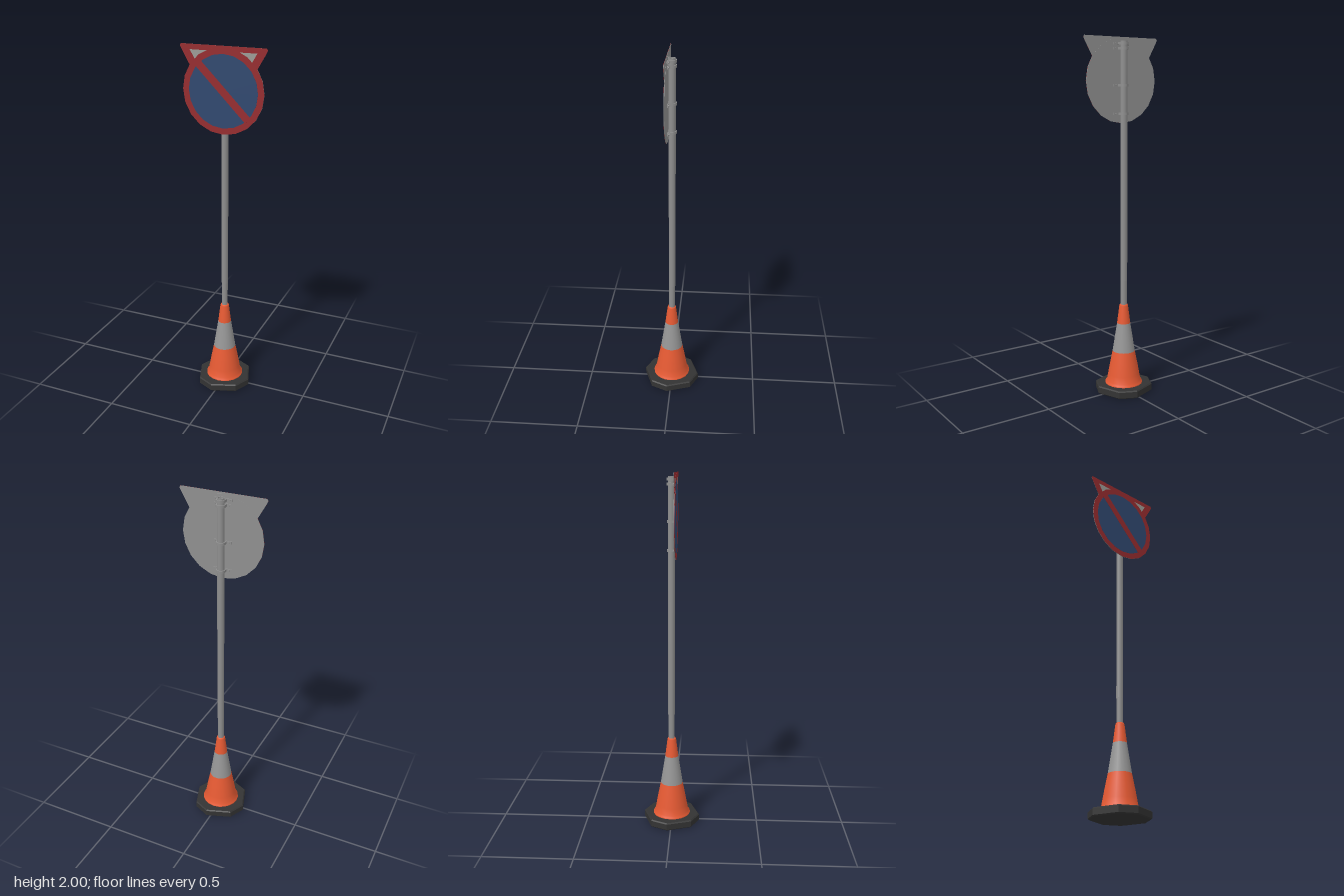
import * as THREE from 'three';

const paint = (name, color) => {
  const m = new THREE.MeshStandardMaterial({ color });
  m.name = name;
  return m;
};

export function createModel() {
  const root = new THREE.Group();
  root.name = 'portableRoadSign';
  const orange = paint('orange', 0xe65a33);
  const band = paint('reflectiveGrey', 0x969696);
  const metal = paint('metalGrey', 0x8f8f8f);
  const rubber = paint('blackRubber', 0x333333);
  const red = paint('signRed', 0x962c2f);
  const blue = paint('signBlue', 0x30486f);
  const white = paint('signPanel', 0x9c9c96);

  const add = (name, geo, mat, x = 0, y = 0, z = 0, parent = root) => {
    const mesh = new THREE.Mesh(geo, mat);
    mesh.name = name;
    mesh.position.set(x, y, z);
    parent.add(mesh);
    return mesh;
  };
  const lathe = (pts, sides) => new THREE.LatheGeometry(pts.map(p => new THREE.Vector2(...p)), sides);
  const plate = (pts, depth) => new THREE.ExtrudeGeometry(
    new THREE.Shape(pts.map(p => new THREE.Vector2(...p))), { depth, bevelEnabled: false });
  const disc = (r, depth) => new THREE.CylinderGeometry(r, r, depth, 20).rotateX(Math.PI / 2);

  // Rubber foot: a square with cut corners, turned a little and bevelled on top
  const foot = [];
  for (let k = 0; k < 4; k++) {
    for (const side of [-1, 1]) {
      const a = THREE.MathUtils.degToRad(25.5 + 90 * k + 18 * side);
      foot.push(new THREE.Vector2(Math.cos(a) * 0.157, Math.sin(a) * 0.157));
    }
  }
  const footGeo = new THREE.ExtrudeGeometry(new THREE.Shape(foot), {
    depth: 0.033, bevelSize: 0.006, bevelThickness: 0.006, bevelSegments: 1 });
  footGeo.rotateX(Math.PI / 2);
  add('rubberFoot', footGeo, rubber, 0, 0.039, 0);

  // Traffic cone in three colour bands
  add('coneLower', lathe([[0.107, 0.044], [0.107, 0.052], [0.097, 0.062], [0.09, 0.1],
    [0.081, 0.15], [0.073, 0.19], [0.064, 0.235]], 20), orange);
  add('coneBand', lathe([[0.064, 0.235], [0.038, 0.4]], 20), band);
  add('coneUpper', lathe([[0.038, 0.4], [0.025, 0.502], [0.022, 0.51], [0.012, 0.51]], 20), orange);

  // Pole with an outer sleeve and a hollow top
  add('lowerPole', new THREE.CylinderGeometry(0.0175, 0.0175, 0.45, 12), metal, 0, 0.5, -0.001);
  add('upperPole', lathe([[0.0165, 0.65], [0.0192, 0.65], [0.0192, 1.978]], 12), metal, 0, 0, -0.002);
  add('poleRim', new THREE.RingGeometry(0.0155, 0.0192, 12).rotateX(-Math.PI / 2), metal, 0, 1.978, -0.002);
  add('poleHollow', lathe([[0.0155, 1.978], [0.0155, 1.93], [0, 1.925]], 12), metal, 0, 0, -0.002);

  // Triangular sign, point down, tucked into the thickness of the round one
  const tri = [[-0.237, 2], [-0.243, 1.99], [-0.236, 1.975], [-0.008, 1.58], [0.008, 1.58],
    [0.236, 1.975], [0.243, 1.99], [0.237, 2]];
  add('triangleBack', plate(tri, 0.001), metal, 0, 0, 0.0215);
  add('triangleFace', plate(tri, 0.001), red, 0, 0, 0.0225);
  add('trianglePanel', plate([[-0.187, 1.972], [0, 1.65], [0.187, 1.972]], 0.0006), white, 0, 0, 0.0233);

  // Round sign: backing, red border, blue field and diagonal bar
  const sign = new THREE.Group();
  sign.name = 'roundSign';
  sign.position.set(0, 1.765, 0);
  root.add(sign);
  add('signBack', disc(0.229, 0.003), metal, 0, 0, 0.022, sign);
  add('signBorder', disc(0.229, 0.001), red, 0, 0, 0.024, sign);
  add('signField', disc(0.195, 0.001), blue, 0, 0, 0.025, sign);
  add('diagonalBar', new THREE.BoxGeometry(0.4, 0.042, 0.001), red, 0, 0, 0.026, sign)
    .rotation.z = -Math.PI / 4;

  // Clamps: U-shaped straps round the pole with flanges bolted to the signs
  const strap = new THREE.Shape();
  strap.moveTo(-0.052, 0.0205);
  strap.lineTo(-0.052, 0.016);
  strap.lineTo(-0.025, 0.016);
  strap.lineTo(-0.025, -0.002);
  strap.absarc(0, -0.002, 0.025, Math.PI, Math.PI * 2, false);
  strap.lineTo(0.025, 0.016);
  strap.lineTo(0.052, 0.016);
  strap.lineTo(0.052, 0.0205);
  strap.lineTo(0.0195, 0.0205);
  strap.lineTo(0.0195, -0.002);
  strap.absarc(0, -0.002, 0.0195, Math.PI * 2, Math.PI, true);
  strap.lineTo(-0.0195, 0.0205);
  const strapGeo = new THREE.ExtrudeGeometry(strap, { depth: 0.014, bevelEnabled: false, curveSegments: 8 });
  strapGeo.rotateX(Math.PI / 2).translate(0, 0.007, 0);
  const boltGeo = new THREE.CylinderGeometry(0.005, 0.005, 0.007, 6).rotateX(Math.PI / 2);
  for (const y of [1.588, 1.742, 1.938, 1.964]) {
    const clamp = new THREE.Group();
    clamp.name = 'clamp';
    clamp.position.y = y;
    root.add(clamp);
    add('clampStrap', strapGeo, metal, 0, 0, 0, clamp);
    for (const s of [-1, 1]) add('clampBolt', boltGeo, metal, s * 0.039, 0, 0.0135, clamp);
  }
  return root;
}
